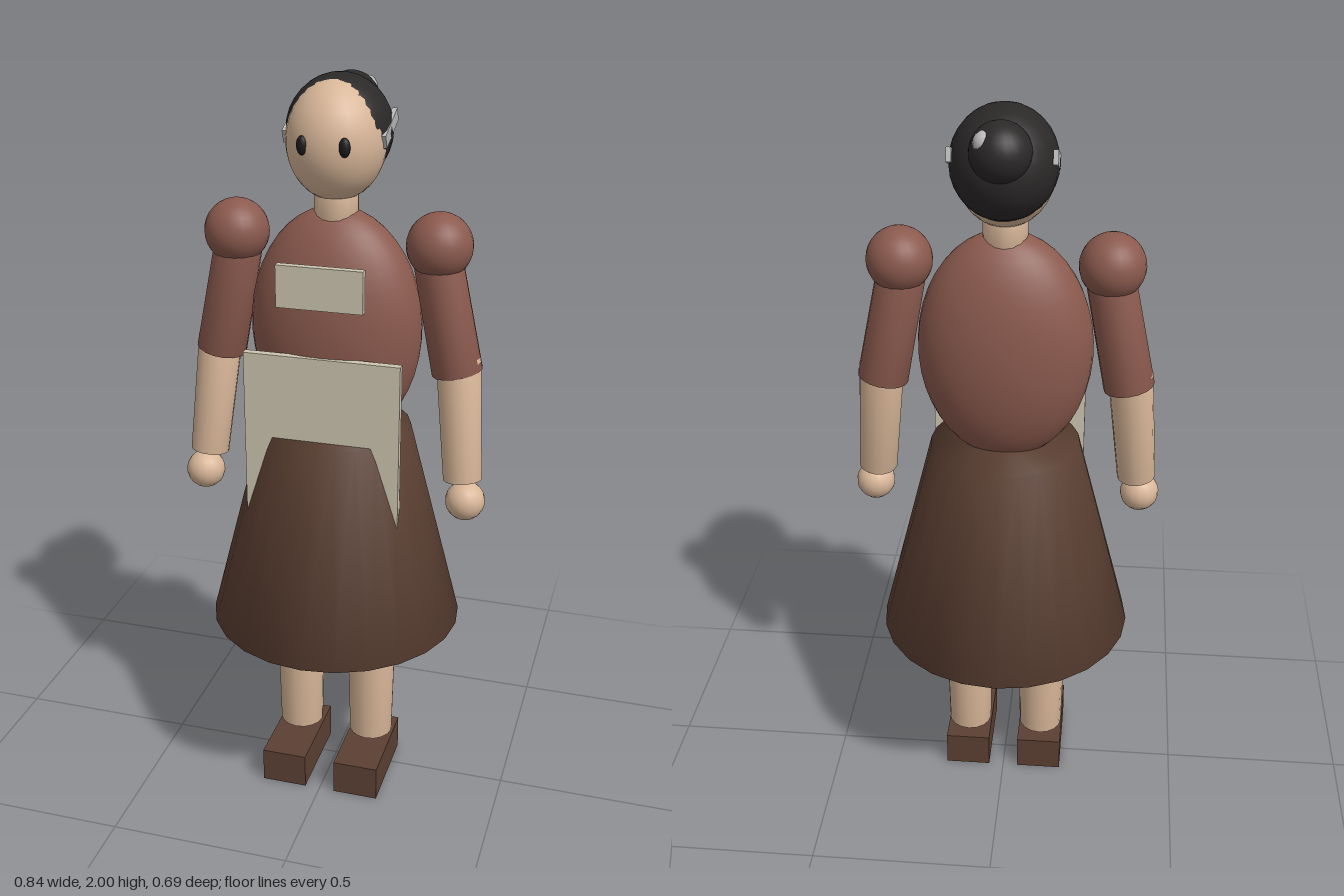
import * as THREE from 'three';
import { mergeVertices } from 'three/addons/utils/BufferGeometryUtils.js';

const mat = (name, color) => {
  const m = new THREE.MeshStandardMaterial({ color });
  m.name = name;
  return m;
};

export function createModel() {
  const skin = mat('skin', 0xd9b799);
  const blouse = mat('blouse', 0x8b5a4e);
  const brown = mat('brownCloth', 0x5c4033);
  const linen = mat('linen', 0xcdc5b1);
  const black = mat('blackHair', 0x2b2828);
  const eyeDark = mat('eyeDark', 0x1c1a1a);
  const silver = mat('silver', 0xb8b8b8);

  const model = new THREE.Group();
  model.name = 'figure';

  const add = (name, geo, material, x = 0, y = 0, z = 0) => {
    const mesh = new THREE.Mesh(geo, material);
    mesh.name = name;
    mesh.position.set(x, y, z);
    model.add(mesh);
    return mesh;
  };

  const ellipsoid = (name, material, c, r, seg = 24) =>
    add(name, new THREE.SphereGeometry(1, seg, Math.round(seg * 0.67)).scale(...r), material, ...c);

  const box = (name, material, c, s) => add(name, new THREE.BoxGeometry(...s), material, ...c);

  // Capped tapered limb from a to b, with normals blended softly over its rims
  const limb = (name, material, a, b, ra, rb, seg = 16) => {
    const from = new THREE.Vector3(...a), to = new THREE.Vector3(...b);
    const dir = to.clone().sub(from);
    let geo = new THREE.CylinderGeometry(rb, ra, dir.length(), seg);
    geo.deleteAttribute('normal');
    geo.deleteAttribute('uv');
    geo = mergeVertices(geo, 1e-4);
    geo.computeVertexNormals();
    const mesh = add(name, geo, material, ...from.add(to).multiplyScalar(0.5).toArray());
    mesh.quaternion.setFromUnitVectors(new THREE.Vector3(0, 1, 0), dir.normalize());
    return mesh;
  };

  // Body and clothes
  limb('skirt', brown, [0, 0.512, 0], [0, 1.085, 0], 0.347, 0.2, 24);
  ellipsoid('torso', blouse, [0, 1.36, 0], [0.228, 0.317, 0.14], 32);
  limb('neck', skin, [0, 1.62, 0], [0, 1.74, 0], 0.057, 0.057);
  box('apron', linen, [0, 1.06, 0.137], [0.416, 0.51, 0.022]);
  box('apronBib', linen, [0, 1.503, 0.149], [0.226, 0.11, 0.021]);

  // Head, hair and bun
  ellipsoid('head', skin, [0, 1.842, 0], [0.127, 0.151, 0.131]);
  ellipsoid('hair', black, [0, 1.86, -0.03], [0.134, 0.14, 0.147]);
  ellipsoid('bun', black, [0, 1.915, -0.133], [0.075, 0.074, 0.075]);
  ellipsoid('bunOrnament', silver, [0.036, 1.945, -0.163], [0.026, 0.029, 0.026], 12);

  for (const s of [1, -1]) {
    const side = s > 0 ? 'left' : 'right';

    // Face and hair clips
    ellipsoid(side + 'Eye', eyeDark, [s * 0.053, 1.847, 0.116], [0.015, 0.024, 0.012], 12);
    const clip = box(side + 'HairClip', silver, [s * 0.126, 1.87, -0.035], [0.013, 0.035, 0.125]);
    clip.rotation.x = 0.4;

    // Arms
    ellipsoid(side + 'SleevePuff', blouse, [s * 0.268, 1.593, 0], [0.085, 0.085, 0.085]);
    limb(side + 'Sleeve', blouse, [s * 0.323, 1.263, -0.006], [s * 0.262, 1.57, 0], 0.067, 0.063);
    limb(side + 'Forearm', skin, [s * 0.355, 0.975, 0.03], [s * 0.325, 1.3, -0.006], 0.052, 0.059);
    ellipsoid(side + 'Hand', skin, [s * 0.366, 0.918, 0.04], [0.053, 0.053, 0.053], 16);

    // Legs and shoes
    limb(side + 'Leg', skin, [s * 0.106, 0.115, 0], [s * 0.106, 0.6, 0], 0.062, 0.071);
    box(side + 'Shoe', brown, [s * 0.106, 0.05, 0.048], [0.127, 0.1, 0.265]);
  }

  return model;
}
